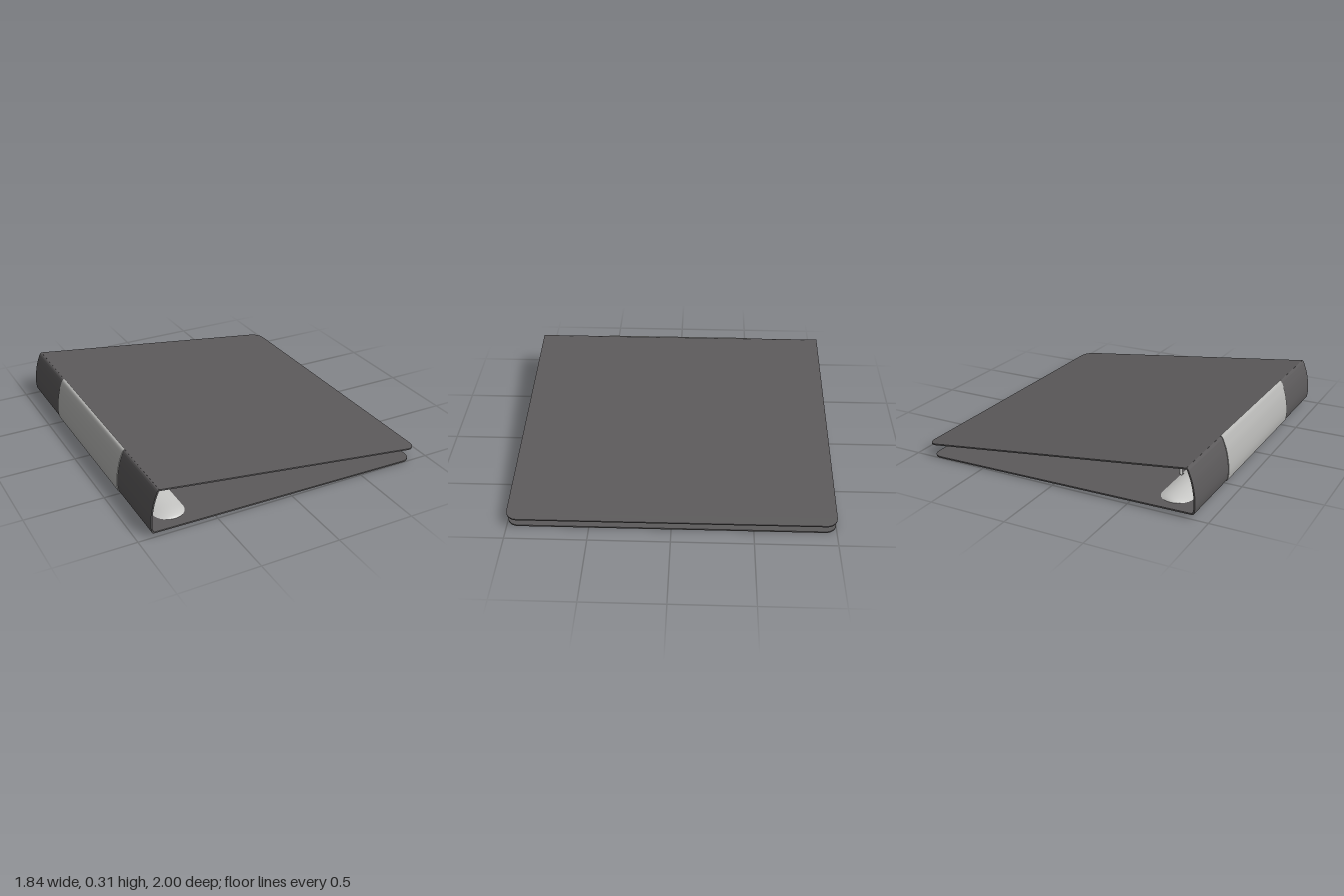
import * as THREE from 'three';
import { toCreasedNormals } from 'three/addons/utils/BufferGeometryUtils.js';

const material = (name, color, side = THREE.FrontSide) => {
  const m = new THREE.MeshStandardMaterial({ color, side });
  m.name = name;
  return m;
};

const V2 = (x, y) => new THREE.Vector2(x, y);

// Flat board from (x0, y0) to (x1, y1), with its free corners rounded
function board(x0, y0, x1, y1, thickness) {
  const length = Math.hypot(x1 - x0, y1 - y0), r = 0.07;
  const s = new THREE.Shape();
  s.moveTo(0, -1);
  s.lineTo(length - r, -1);
  s.absarc(length - r, -1 + r, r, -Math.PI / 2, 0);
  s.lineTo(length, 1 - r);
  s.absarc(length - r, 1 - r, r, 0, Math.PI / 2);
  s.lineTo(0, 1);
  const g = new THREE.ExtrudeGeometry(s, { depth: thickness, bevelEnabled: false, curveSegments: 10 });
  g.rotateX(-Math.PI / 2);
  g.rotateZ(Math.atan2(y1 - y0, x1 - x0));
  g.translate(x0, y0, 0);
  return toCreasedNormals(g, 0.6);
}

// Curved strip following the spine profile, between two inward offsets
function spineStrip(curve, from, to, halfLength) {
  const n = 32, outer = [], inner = [];
  for (let i = 0; i <= n; i++) {
    const p = curve.getPoint(i / n), t = curve.getTangent(i / n);
    const normal = V2(-t.y, t.x);
    outer.push(p.clone().addScaledVector(normal, from));
    inner.unshift(p.clone().addScaledVector(normal, to));
  }
  const g = new THREE.ExtrudeGeometry(new THREE.Shape([...outer, ...inner]), {
    depth: halfLength * 2, bevelEnabled: false,
  });
  g.translate(0, 0, -halfLength);
  return toCreasedNormals(g, 0.6);
}

// Shallow arched sheet with rounded ends, lofted along z
function archedPlate(halfWidth, halfLength, height) {
  const rows = 48, cols = 12, positions = [], index = [];
  for (let i = 0; i <= rows; i++) {
    // Cosine spacing puts more sections into the round ends
    const z = -halfLength * Math.cos((i / rows) * Math.PI);
    const d = Math.max(0, Math.abs(z) - (halfLength - halfWidth)) / halfWidth;
    const w = Math.sqrt(Math.max(0, 1 - d * d));
    for (let j = 0; j <= cols; j++) {
      const u = (j / cols) * 2 - 1;
      positions.push(u * w * halfWidth, height * w * (1 - u * u), z);
      if (i < rows && j < cols) {
        const a = i * (cols + 1) + j, b = a + cols + 1;
        index.push(a, b, a + 1, b, b + 1, a + 1);
      }
    }
  }
  const g = new THREE.BufferGeometry();
  g.setAttribute('position', new THREE.Float32BufferAttribute(positions, 3));
  g.setIndex(index);
  g.computeVertexNormals();
  return g;
}

export function createModel() {
  const group = new THREE.Group();
  group.name = 'ringBinder';
  const coverGrey = material('cover grey', 0x5c5a5b);
  const labelGrey = material('label grey', 0xb8b8b6);
  const metal = material('metal', 0xc8c8c6, THREE.DoubleSide);
  const add = (name, geometry, mat) => {
    const mesh = new THREE.Mesh(geometry, mat);
    mesh.name = name;
    group.add(mesh);
    return mesh;
  };

  // Covers
  add('topCover', board(-0.862, 0.295, 0.92, 0.073, 0.009), coverGrey);
  add('bottomCover', board(-0.9, 0.027, 0.89, 0, 0.009), coverGrey);

  // Bowed spine with its label
  const profile = new THREE.SplineCurve([
    V2(-0.858, 0.304), V2(-0.87, 0.298), V2(-0.882, 0.272), V2(-0.9, 0.22),
    V2(-0.914, 0.15), V2(-0.919, 0.09), V2(-0.915, 0.045), V2(-0.909, 0.03), V2(-0.895, 0.027),
  ]);
  add('spine', spineStrip(profile, 0, 0.009, 1), coverGrey);
  add('spineLabel', spineStrip(profile, -0.004, 0.001, 0.52), labelGrey);

  // Ring mechanism base
  const plate = add('ringPlate', archedPlate(0.1, 0.935, 0.022), metal);
  plate.position.set(-0.742, 0.036, 0);
  plate.rotation.z = -0.015;

  // D-shaped rings
  const path = new THREE.CurvePath();
  const V3 = (x, y) => new THREE.Vector3(x, y, 0);
  const line = (a, b) => path.add(new THREE.LineCurve3(a, b));
  const bend = (a, b, c) => path.add(new THREE.QuadraticBezierCurve3(a, b, c));
  const bow = (a, b, c, d) => path.add(new THREE.CubicBezierCurve3(a, b, c, d));
  line(V3(-0.66, 0.043), V3(-0.658, 0.043));
  bend(V3(-0.658, 0.043), V3(-0.644, 0.043), V3(-0.644, 0.06));
  line(V3(-0.644, 0.06), V3(-0.644, 0.188));
  bend(V3(-0.644, 0.188), V3(-0.644, 0.207), V3(-0.663, 0.207));
  line(V3(-0.663, 0.207), V3(-0.75, 0.207));
  bow(V3(-0.75, 0.207), V3(-0.81, 0.207), V3(-0.853, 0.17), V3(-0.853, 0.12));
  bow(V3(-0.853, 0.12), V3(-0.853, 0.085), V3(-0.84, 0.06), V3(-0.81, 0.045));
  const ring = new THREE.TubeGeometry(path, 72, 0.01, 10, false);
  [-0.59, -0.197, 0.197, 0.59].forEach((z, i) => {
    add(`ring${i + 1}`, ring, metal).position.z = z;
  });

  return group;
}
